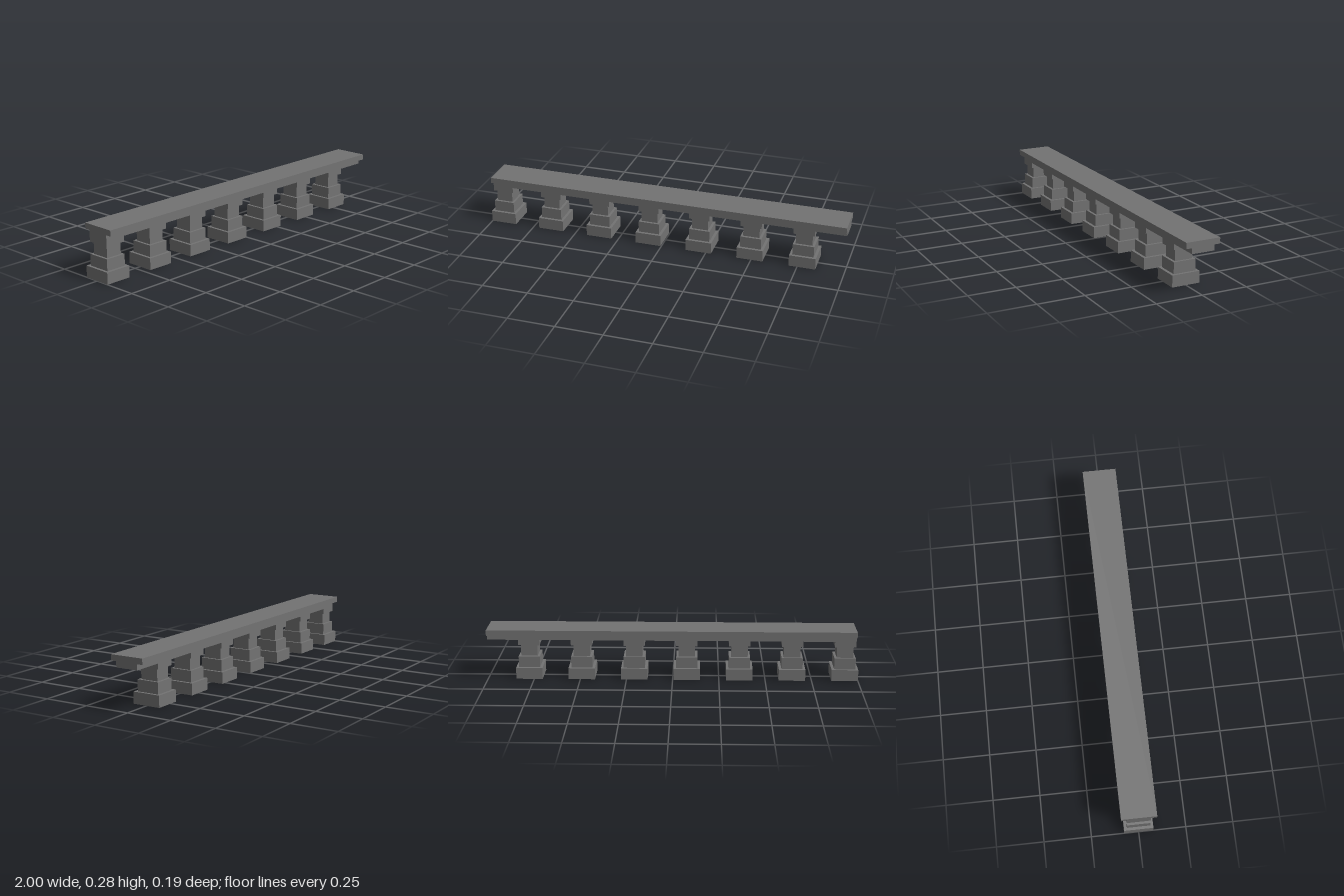
import * as THREE from 'three';

export function createModel() {
  const group = new THREE.Group();
  const solid = new THREE.MeshStandardMaterial({ color: 0x737373, flatShading: true });
  const shell = new THREE.MeshStandardMaterial({ color: 0x737373, flatShading: true, side: THREE.DoubleSide });

  // Stepped square pillar: half depth and height of each corner, hollow and open below
  const steps = [
    [0.077, 0], [0.077, 0.062],          // plinth
    [0.0615, 0.062], [0.0615, 0.123],    // upper plinth
    [0.048, 0.123], [0.048, 0.186],      // shaft
    [0.0615, 0.186], [0.0615, 0.216],    // capital
  ];
  const profile = steps.map(([half, y]) => new THREE.Vector2(half * Math.SQRT2, y));
  const pillarGeometry = new THREE.LatheGeometry(profile, 4, Math.PI / 4);
  pillarGeometry.scale(0.93, 1, 1);

  // Row of seven pillars, the first flush with the beam's right end
  for (let i = 0; i < 7; i++) {
    const pillar = new THREE.Mesh(pillarGeometry, shell);
    pillar.name = `pillar${i + 1}`;
    pillar.position.x = -0.9284 + i * 0.284;
    group.add(pillar);
  }

  // Beam and wider coping slab resting on the pillars
  const addBar = (name, bottom, top, depth) => {
    const bar = new THREE.Mesh(new THREE.BoxGeometry(1.9856, top - bottom, depth), solid);
    bar.name = name;
    bar.position.set(0.0072, (bottom + top) / 2, 0);
    group.add(bar);
  };
  addBar('beam', 0.216, 0.246, 0.123);
  addBar('copingSlab', 0.246, 0.277, 0.185);

  return group;
}
